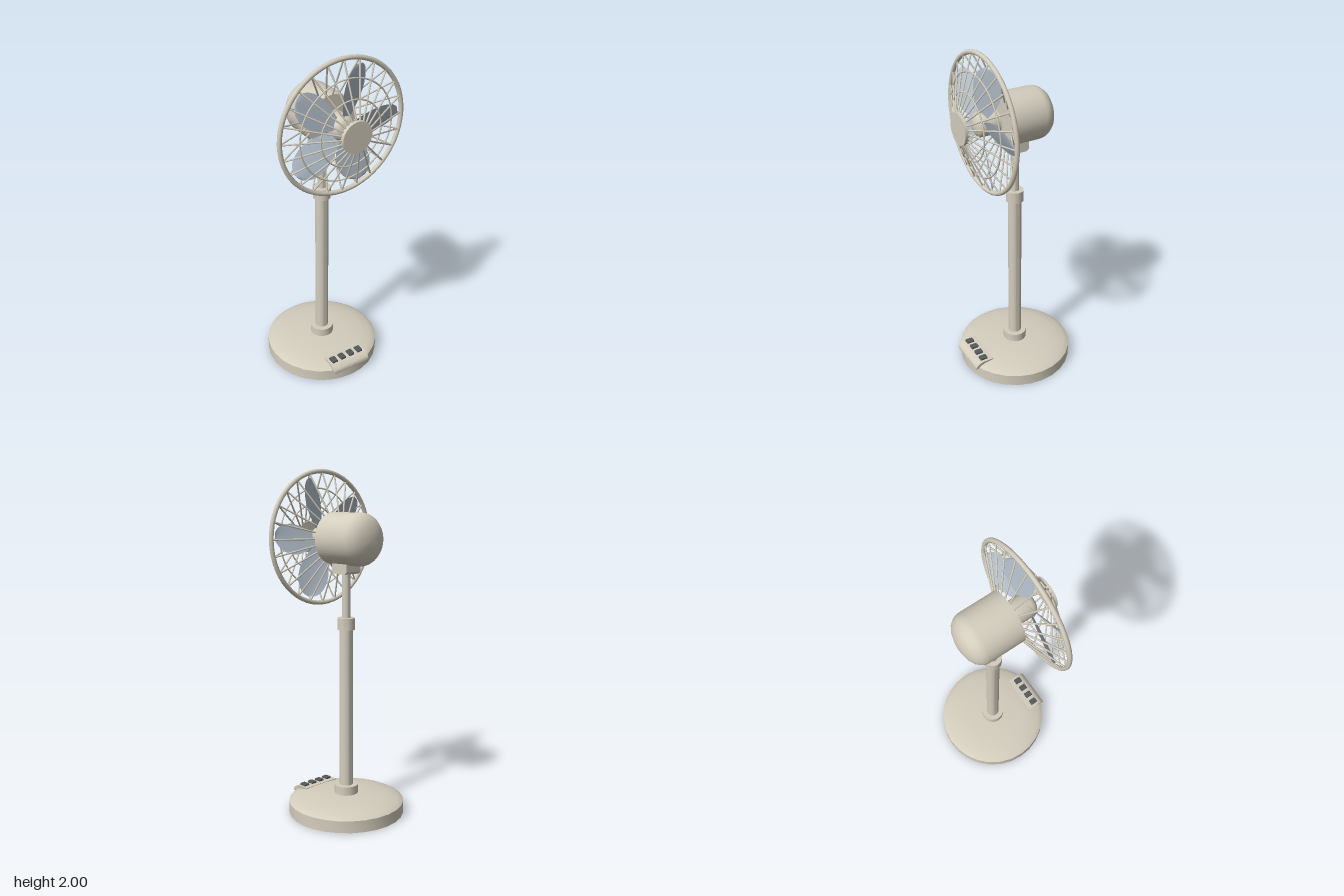
import * as THREE from 'three';
import { mergeGeometries, toCreasedNormals } from 'three/addons/utils/BufferGeometryUtils.js';
import { RoundedBoxGeometry } from 'three/addons/geometries/RoundedBoxGeometry.js';

const HEAD_Y = 1.61;
const RIM_R = 0.377, RIM_Z = 0.2, SPOKES = 24;

function makeMaterial(name, color, side = THREE.FrontSide) {
  const m = new THREE.MeshStandardMaterial({ color, side });
  m.name = name;
  return m;
}

// Solid of revolution about y from [radius, height] pairs, bottom to top
function lathe(points, segments = 32) {
  const geo = new THREE.LatheGeometry(points.map(([r, y]) => new THREE.Vector2(r, y)), segments);
  return toCreasedNormals(geo, 0.6);
}

// Straight round wire between two points
function wire(a, b, radius) {
  const dir = b.clone().sub(a);
  const geo = new THREE.CylinderGeometry(radius, radius, dir.length(), 6);
  geo.applyQuaternion(new THREE.Quaternion().setFromUnitVectors(new THREE.Vector3(0, 1, 0), dir.normalize()));
  const mid = a.clone().add(b).multiplyScalar(0.5);
  return geo.translate(mid.x, mid.y, mid.z);
}

const polar = (r, angle, z) => new THREE.Vector3(r * Math.cos(angle), r * Math.sin(angle), z);

// Fan of wires from an inner circle out to the rim
function spokeSet(innerR, innerZ) {
  const parts = [];
  for (let i = 0; i < SPOKES; i++) {
    const a = (i / SPOKES) * Math.PI * 2;
    parts.push(wire(polar(innerR, a, innerZ), polar(RIM_R, a, RIM_Z), 0.0048));
  }
  return mergeGeometries(parts);
}

// Paddle blade: a sheet shaped by a width rule, pitched and lightly cambered
function bladeGeometry() {
  const geo = new THREE.PlaneGeometry(1, 2, 16, 6);
  const pos = geo.attributes.position;
  for (let i = 0; i < pos.count; i++) {
    const u = Math.sin((pos.getX(i) + 0.5) * Math.PI / 2);
    const v = pos.getY(i);
    const swell = 0.028 + 0.06 * Math.sin(Math.min(u / 0.65, 1) * Math.PI / 2);
    const half = Math.sqrt(Math.max(0, 1 - u ** 5)) * swell;
    pos.setXYZ(i, 0.05 + 0.3 * u, half * v, 0.205 + 0.42 * half * v - 0.008 * u * v * v);
  }
  geo.computeVertexNormals();
  return geo;
}

export function createModel() {
  const model = new THREE.Group();
  model.name = 'pedestalFan';
  const body = makeMaterial('warm beige plastic', 0xd3cdbd);
  const bladeMat = makeMaterial('pale blue blade', 0xb4c0cc, THREE.DoubleSide);
  const dark = makeMaterial('dark grey button', 0x55585a);

  const add = (name, geo, mat, parent = model) => {
    const mesh = new THREE.Mesh(geo, mat);
    mesh.name = name;
    parent.add(mesh);
    return mesh;
  };

  // Base with shallow dome
  add('base', lathe([[0, 0], [0.34, 0], [0.34, 0.07], [0.33, 0.077], [0.31, 0.086],
    [0.25, 0.1], [0.17, 0.109], [0.08, 0.114], [0, 0.115]], 28), body);

  // Stand: collar, lower tube, clamp and inner tube
  add('stand', lathe([[0.07, 0.1], [0.07, 0.165], [0.039, 0.165], [0.039, 1.095], [0.051, 1.095],
    [0.051, 1.163], [0.024, 1.163], [0.024, 1.43]], 28), body);

  // Control panel overhanging the front edge of the base
  const panel = new THREE.Group();
  panel.name = 'controlPanel';
  model.add(panel);
  const side = new THREE.Shape();
  side.moveTo(0.22, 0.06);
  side.lineTo(0.336, 0.052);
  side.lineTo(0.338, 0.07);
  side.quadraticCurveTo(0.335, 0.086, 0.31, 0.1);
  side.lineTo(0.29, 0.105);
  side.lineTo(0.22, 0.105);
  const housing = new THREE.ExtrudeGeometry(side, { depth: 0.25, bevelEnabled: false, steps: 8, curveSegments: 6 });
  housing.rotateY(-Math.PI / 2).translate(0.125, 0, 0);
  // tuck in the lower corners
  const hp = housing.attributes.position;
  for (let i = 0; i < hp.count; i++) {
    if (Math.abs(hp.getX(i)) > 0.12 && hp.getY(i) < 0.065) hp.setX(i, Math.sign(hp.getX(i)) * 0.113);
  }
  housing.computeVertexNormals();
  add('panelHousing', toCreasedNormals(housing, 0.6), body, panel);
  for (let i = 0; i < 4; i++) {
    const key = add('button', new RoundedBoxGeometry(0.036, 0.018, 0.046, 2, 0.004), dark, panel);
    key.position.set(-0.09 + i * 0.06, 0.107, 0.273);
  }

  // Head group, centred on the fan axis
  const head = new THREE.Group();
  head.name = 'fanHead';
  head.position.y = HEAD_Y;
  model.add(head);

  // Motor housing with rounded back
  add('motorHousing', lathe([[0, -0.21], [0.05, -0.204], [0.09, -0.192], [0.118, -0.175], [0.137, -0.152],
    [0.145, -0.135], [0.148, -0.115], [0.148, 0.1], [0, 0.1]], 36).rotateX(Math.PI / 2), body, head);

  // Neck bracket with chamfered lower edges
  const neck = new THREE.Shape();
  [[-0.058, 0.07], [-0.058, -0.022], [-0.045, -0.035], [0.045, -0.035], [0.058, -0.022], [0.058, 0.07]]
    .forEach(([x, y], i) => (i ? neck.lineTo(x, y) : neck.moveTo(x, y)));
  const neckGeo = new THREE.ExtrudeGeometry(neck, { depth: 0.11, bevelEnabled: false });
  neckGeo.translate(0, 0, -0.055).rotateY(Math.PI / 2);
  add('neckBracket', neckGeo, body, head).position.y = -0.16;

  // Shaft and spinner
  add('spinner', lathe([[0, 0.117], [0.068, 0.117], [0.068, 0.215], [0.06, 0.232], [0.04, 0.244],
    [0, 0.25]]).rotateX(Math.PI / 2), body, head);
  add('shaft', new THREE.CylinderGeometry(0.02, 0.02, 0.04, 16).rotateX(Math.PI / 2), body, head).position.z = 0.11;

  // Five blades
  const blade = bladeGeometry();
  for (let i = 0; i < 5; i++) {
    add('blade', blade, bladeMat, head).rotation.z = (i / 5) * Math.PI * 2;
  }

  // Guard: rim, two front rings, front and rear wires, centre cap
  const guard = new THREE.Group();
  guard.name = 'guard';
  head.add(guard);
  add('rim', new THREE.TorusGeometry(RIM_R, 0.013, 10, 56), body, guard).position.z = RIM_Z;
  for (const [r, z] of [[0.283, 0.24], [0.185, 0.281]]) {
    add('frontRing', new THREE.TorusGeometry(r, 0.0045, 6, 48), body, guard).position.z = z;
  }
  add('frontWires', spokeSet(0.083, 0.323), body, guard);
  add('rearWires', spokeSet(0.145, 0.1), body, guard);
  add('centreCap', new THREE.CylinderGeometry(0.089, 0.089, 0.022, 32).rotateX(Math.PI / 2), body, guard)
    .position.z = 0.328;

  return model;
}
